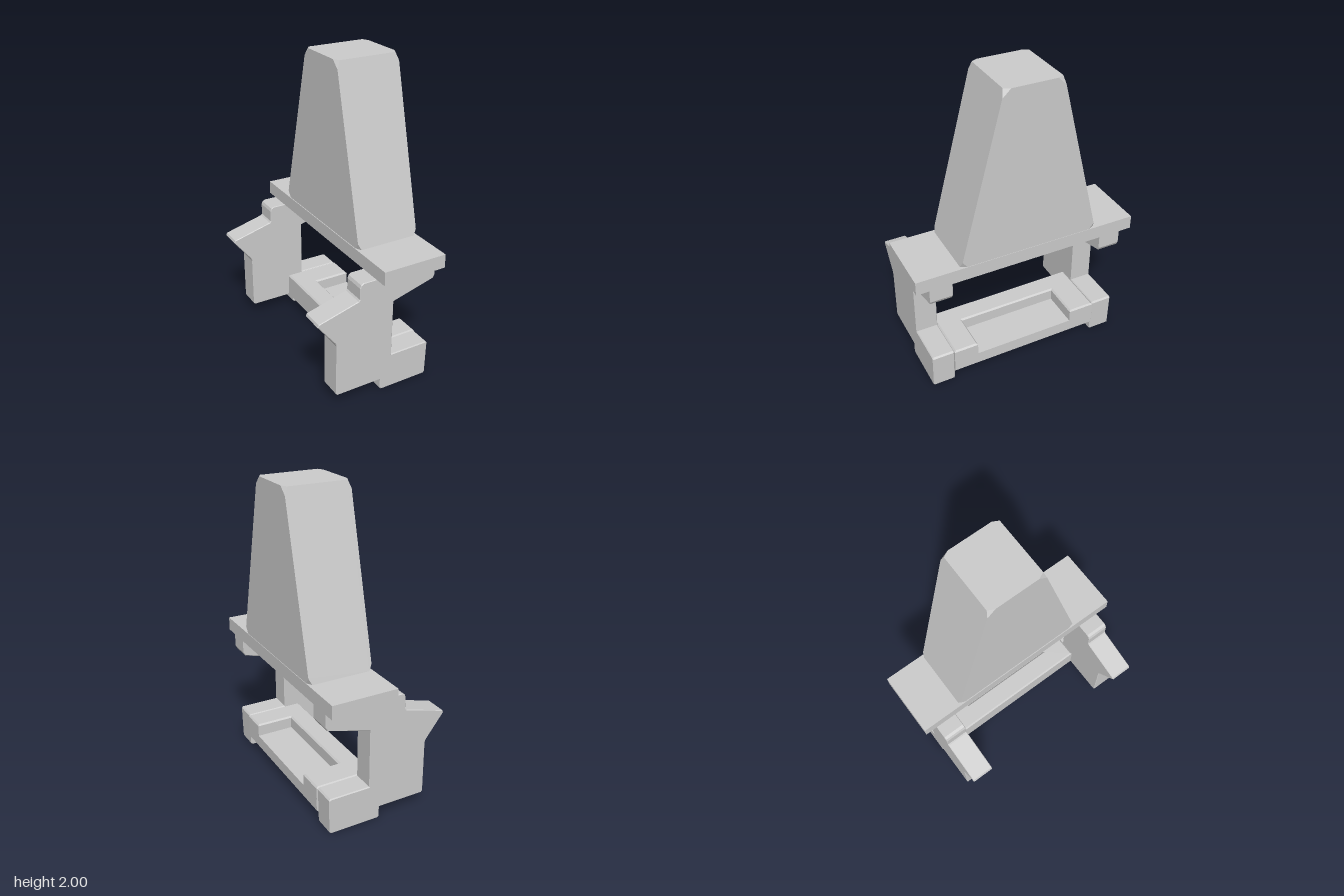
import * as THREE from 'three';
import { ConvexGeometry } from 'three/addons/geometries/ConvexGeometry.js';

const material = new THREE.MeshStandardMaterial({ color: 0xcccccc, flatShading: true });

function part(name, geometry, parent) {
  const mesh = new THREE.Mesh(geometry, material);
  mesh.name = name;
  parent.add(mesh);
  return mesh;
}

// Box given by its limits on each axis
function box(x0, x1, y0, y1, z0, z1) {
  return new THREE.BoxGeometry(x1 - x0, y1 - y0, z1 - z0)
    .translate((x0 + x1) / 2, (y0 + y1) / 2, (z0 + z1) / 2);
}

// Outline in x and y, extruded from z0 to z1 with a narrow chamfer
function plate(points, z0, z1, bevel) {
  const shape = new THREE.Shape(points.map(([x, y]) => new THREE.Vector2(x, y)));
  return new THREE.ExtrudeGeometry(shape, {
    depth: z1 - z0 - 2 * bevel, bevelEnabled: true, bevelSegments: 1,
    bevelSize: bevel, bevelThickness: bevel, bevelOffset: -bevel,
  }).translate(0, 0, z0 + bevel);
}

// Tapered block with its eight corners clipped
function towerGeometry() {
  const x0 = -0.015, x1 = 0.407, yLow = 0.91, yHigh = 2;
  const zAt = (y, side) => {
    const t = (y - yLow) / (yHigh - yLow);
    return side > 0 ? 0.453 + t * (0.175 - 0.453) : -0.465 + t * (-0.19 + 0.465);
  };
  const points = [];
  for (const [x, inward] of [[x0, 1], [x1, -1]]) {
    for (const [y, dy] of [[yLow, 0.04], [yHigh, -0.05]]) {
      for (const side of [-1, 1]) {
        points.push(
          new THREE.Vector3(x + inward * 0.02, y, zAt(y, side)),
          new THREE.Vector3(x, y, zAt(y, side) - side * 0.04),
          new THREE.Vector3(x, y + dy, zAt(y + dy, side)),
        );
      }
    }
  }
  return new ConvexGeometry(points);
}

export function createModel() {
  const model = new THREE.Group();
  model.name = 'bracket';

  // Upper block on its flat plate
  part('tower', towerGeometry(), model);
  part('topPlate', box(-0.02, 0.41, 0.82, 0.91, -0.74, 0.743), model);

  // Matching hooked side arms and their feet
  const armOutline = [
    [0.407, 0.82], [0.407, 0.73], [0.395, 0.708], [0.11, 0.63], [0.11, 0.08],
    [-0.275, 0.08], [-0.285, 0.09], [-0.285, 0.44], [-0.292, 0.46],
    [-0.412, 0.615], [-0.405, 0.632], [-0.138, 0.705], [-0.13, 0.715],
    [-0.13, 0.79], [-0.122, 0.81], [-0.105, 0.82],
  ];
  const footOutline = [
    [0.035, 0.01], [0.045, 0], [0.37, 0], [0.38, 0.01],
    [0.385, 0.235], [0.375, 0.245], [0.045, 0.245], [0.035, 0.235],
  ];
  for (const [side, z0, z1] of [['left', 0.51, 0.658], ['right', -0.66, -0.512]]) {
    part(side === 'left' ? 'frontArm' : 'rearArm', plate(armOutline, z0, z1, 0.004), model);
    part(side === 'left' ? 'frontFoot' : 'rearFoot', plate(footOutline, z0, z1, 0.006), model);
  }

  // Lower crossbar with a pocket open on one long side
  const crossbar = new THREE.Group();
  crossbar.name = 'crossbar';
  model.add(crossbar);
  const baseOutline = [
    [0, 0.08], [0.03, 0.07], [0.38, 0.07], [0.39, 0.08], [0.39, 0.16], [0, 0.16],
  ];
  part('crossbarBase', plate(baseOutline, -0.512, 0.51, 0.001), crossbar);
  const rim = new THREE.Shape([
    [0, -0.512], [0.39, -0.512], [0.39, -0.335], [0.14, -0.335],
    [0.14, 0.347], [0.39, 0.347], [0.39, 0.51], [0, 0.51],
  ].map(([x, z]) => new THREE.Vector2(x, -z)));
  const rimGeometry = new THREE.ExtrudeGeometry(rim, {
    depth: 0.075, bevelEnabled: true, bevelSegments: 1,
    bevelSize: 0.01, bevelThickness: 0.01, bevelOffset: -0.01,
  }).rotateX(-Math.PI / 2).translate(0, 0.16, 0);
  part('crossbarRim', rimGeometry, crossbar);

  return model;
}
